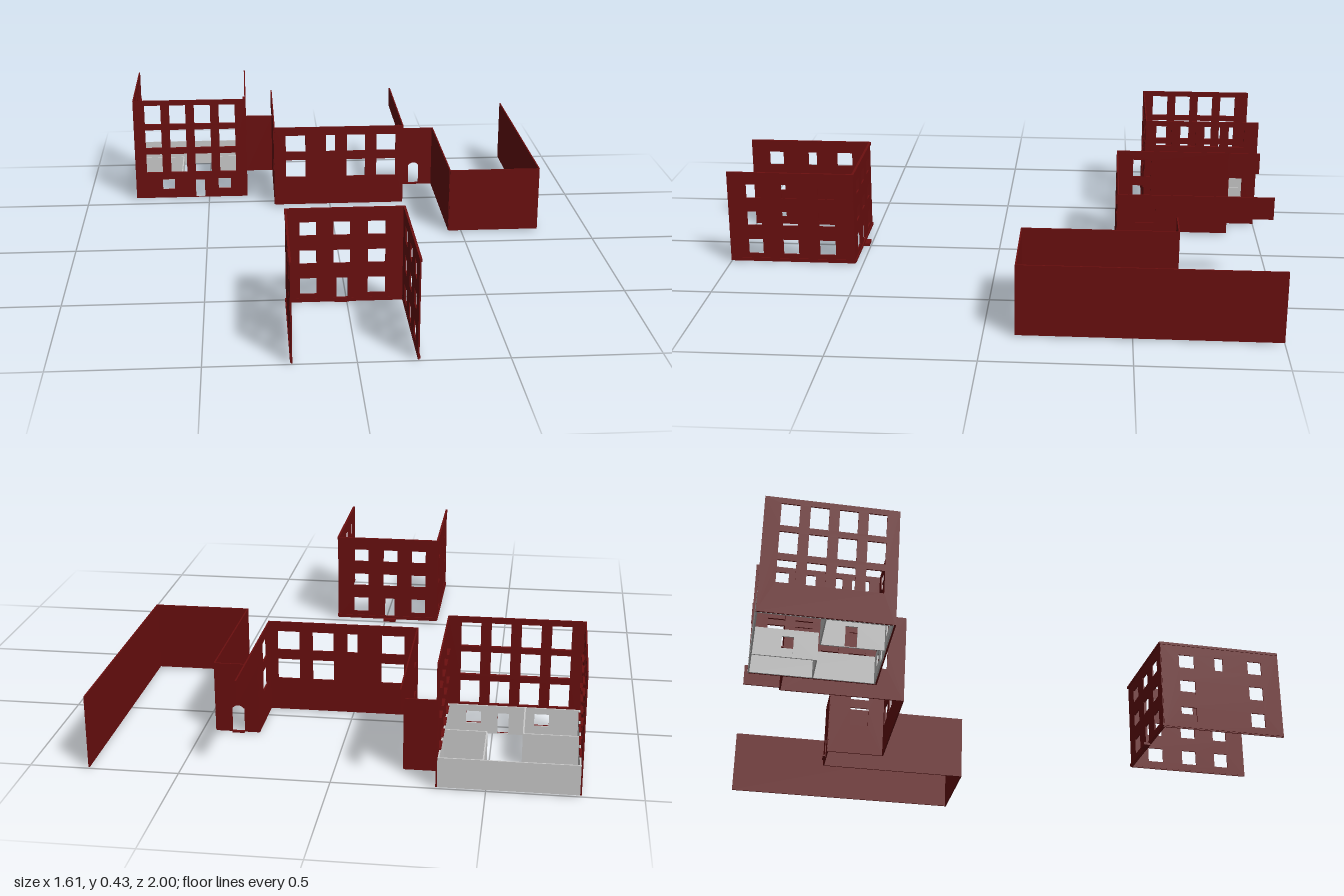
import * as THREE from 'three';

const RED = new THREE.MeshStandardMaterial({ color: 0x6b0f0f, side: THREE.DoubleSide });
const GREY = new THREE.MeshStandardMaterial({ color: 0xcccccc, side: THREE.DoubleSide });
const T = 0.005; // wall thickness

// Hole outline [u0, u1, y0, y1, arched]
function holePath([u0, u1, y0, y1, arched]) {
  const p = new THREE.Path();
  p.moveTo(u0, y0);
  p.lineTo(u1, y0);
  if (arched) {
    p.lineTo(u1, y1 - 0.012);
    p.quadraticCurveTo((u0 + u1) / 2, y1 + 0.012, u0, y1 - 0.012);
  } else {
    p.lineTo(u1, y1);
    p.lineTo(u0, y1);
  }
  p.closePath();
  return p;
}

// Upright wall running along 'x' (at z = pos) or along 'z' (at x = pos)
function wall(group, name, axis, pos, [a, b], [y0, y1], holes = [], material = RED) {
  const shape = new THREE.Shape();
  shape.moveTo(a, y0);
  shape.lineTo(b, y0);
  shape.lineTo(b, y1);
  shape.lineTo(a, y1);
  shape.closePath();
  shape.holes = holes.map(holePath);
  const geo = new THREE.ExtrudeGeometry(shape, { depth: T, bevelEnabled: false, curveSegments: 8 });
  geo.translate(0, 0, -T / 2);
  if (axis === 'z') geo.rotateY(-Math.PI / 2);
  const mesh = new THREE.Mesh(geo, material);
  mesh.name = name;
  mesh.position[axis === 'z' ? 'x' : 'z'] = pos;
  group.add(mesh);
}

function box(group, name, [x0, x1], [y0, y1], [z0, z1]) {
  const mesh = new THREE.Mesh(new THREE.BoxGeometry(x1 - x0, y1 - y0, z1 - z0), RED);
  mesh.name = name;
  mesh.position.set((x0 + x1) / 2, (y0 + y1) / 2, (z0 + z1) / 2);
  group.add(mesh);
}

// Every combination of columns and rows as window holes
const grid = (cols, rows) => cols.flatMap(c => rows.map(r => [...c, ...r]));

function subgroup(root, name) {
  const g = new THREE.Group();
  g.name = name;
  root.add(g);
  return g;
}

// Three-storey house, open at one end
function smallHouse(root) {
  const g = subgroup(root, 'smallHouse');
  const rows = [[0.035, 0.095], [0.15, 0.2], [0.255, 0.305]];
  const sideRows = [[0.035, 0.092], [0.148, 0.202], [0.255, 0.308]];
  const outer = [[0.6, 0.66], [0.875, 0.93]];
  const h = [0.004, 0.352];
  wall(g, 'doorFacade', 'x', 0.53, [-0.212, 0.2], h, [
    ...grid([[-0.165, -0.107], [0.073, 0.134]], rows),
    ...grid([[-0.047, 0.01]], rows.slice(1)),
    [-0.037, 0.003, 0.006, 0.095],
  ]);
  wall(g, 'leftSideWall', 'z', 0.198, [0.53, 1], h, grid([...outer, [0.74, 0.798]], sideRows));
  wall(g, 'rightSideWall', 'z', -0.212, [0.53, 1], h,
    [...grid(outer, sideRows), [0.742, 0.775, 0.255, 0.308]]);
  // Cornice and plinth bands
  for (const [name, y0, y1] of [['cornice', 0.345, 0.355], ['plinth', 0.008, 0.018]]) {
    box(g, name, [-0.217, 0.203], [y0, y1], [0.524, 0.533]);
    for (const x of [-0.213, 0.199]) box(g, name, [x - 0.004, x + 0.004], [y0, y1], [0.53, 1]);
  }
  box(g, 'doorStep', [-0.043, 0.007], [0, 0.01], [0.505, 0.53]);
}

// Tall block with large windows and a grey ground-floor lining
function tallBlock(root) {
  const g = subgroup(root, 'tallBlock');
  const rows = [[0.115, 0.197], [0.222, 0.302], [0.325, 0.407]];
  const cols = [0, 1, 2, 3].map(i => [-0.756 + i * 0.1015, -0.69 + i * 0.1015]);
  const sideCols = [0, 1, 2, 3].map(i => [-0.946 + i * 0.095, -0.885 + i * 0.095]);
  const ground = [[-0.692, -0.642, 0.042, 0.086], [-0.555, -0.517, 0.007, 0.082], [-0.46, -0.408, 0.042, 0.086]];
  const h = [0.005, 0.428];
  wall(g, 'frontWall', 'x', -0.56, [-0.802, -0.34], h, [...grid(cols, rows), ...ground]);
  for (const [c0, c1] of cols)
    for (const [y] of rows) box(g, 'windowSill', [c0, c1], [y - 0.004, y], [-0.57, -0.558]);
  for (const [x, s] of [[-0.8, 1], [-0.342, -1]]) {
    wall(g, 'sideWall', 'z', x, [-1, -0.56], h, grid(sideCols, rows));
    for (const [c0, c1] of sideCols)
      for (const [y] of rows)
        box(g, 'windowSill', [x + s * 0.004 - 0.006, x + s * 0.004 + 0.006], [y - 0.004, y], [c0, c1]);
  }
  // Ground-floor lining and partitions
  const low = [0.005, 0.108];
  const lining = (axis, pos, span, holes) => wall(g, 'groundFloorWall', axis, pos, span, low, holes, GREY);
  lining('x', -0.566, [-0.796, -0.346], ground);
  lining('x', -0.997, [-0.8, -0.342]);
  lining('z', -0.794, [-1, -0.566]);
  lining('z', -0.348, [-1, -0.566]);
  lining('x', -0.78, [-0.796, -0.61]);
  lining('x', -0.78, [-0.49, -0.346]);
  lining('z', -0.61, [-0.78, -0.566], [[-0.7, -0.66, 0.007, 0.082]]);
  lining('z', -0.49, [-1, -0.78], [[-0.9, -0.86, 0.007, 0.082]]);
}

// Middle house whose rear side walls rise above the lower neighbours
function middleHouse(root) {
  const g = subgroup(root, 'middleHouse');
  const rows = [[0.124, 0.197], [0.233, 0.302]];
  const h = [0.005, 0.337];
  wall(g, 'frontWall', 'x', -0.447, [-0.226, 0.302], h, [
    ...grid([[-0.18, -0.1], [0.07, 0.145], [0.192, 0.27]], rows),
    [-0.015, 0.022, 0.233, 0.302],
  ]);
  const sideWindows = grid([[-0.58, -0.51]], rows);
  for (const [x, back] of [[-0.226, -0.88], [0.3, -0.66]]) {
    wall(g, 'sideWall', 'z', x, [back, -0.447], h, sideWindows);
    wall(g, 'upperSideWall', 'z', x, [-1, back], [0.255, 0.337]);
  }
  wall(g, 'linkWall', 'x', -0.882, [-0.342, -0.226], [0.005, 0.256]);
}

// Low windowless wing with a recessed arched entrance
function lowWing(root) {
  const g = subgroup(root, 'lowWing');
  const h = [0.005, 0.256];
  wall(g, 'frontWall', 'x', -0.11, [0.45, 0.802], h);
  wall(g, 'outerWall', 'z', 0.8, [-1, -0.11], h);
  wall(g, 'innerWall', 'z', 0.45, [-0.66, -0.11], h);
  wall(g, 'entranceWall', 'x', -0.66, [0.3, 0.45], h, [[0.35, 0.393, 0.008, 0.103, true]]);
  box(g, 'threshold', [0.35, 0.393], [0.004, 0.009], [-0.672, -0.66]);
}

export function createModel() {
  const root = new THREE.Group();
  root.name = 'streetBuildings';
  smallHouse(root);
  tallBlock(root);
  middleHouse(root);
  lowWing(root);
  return root;
}
